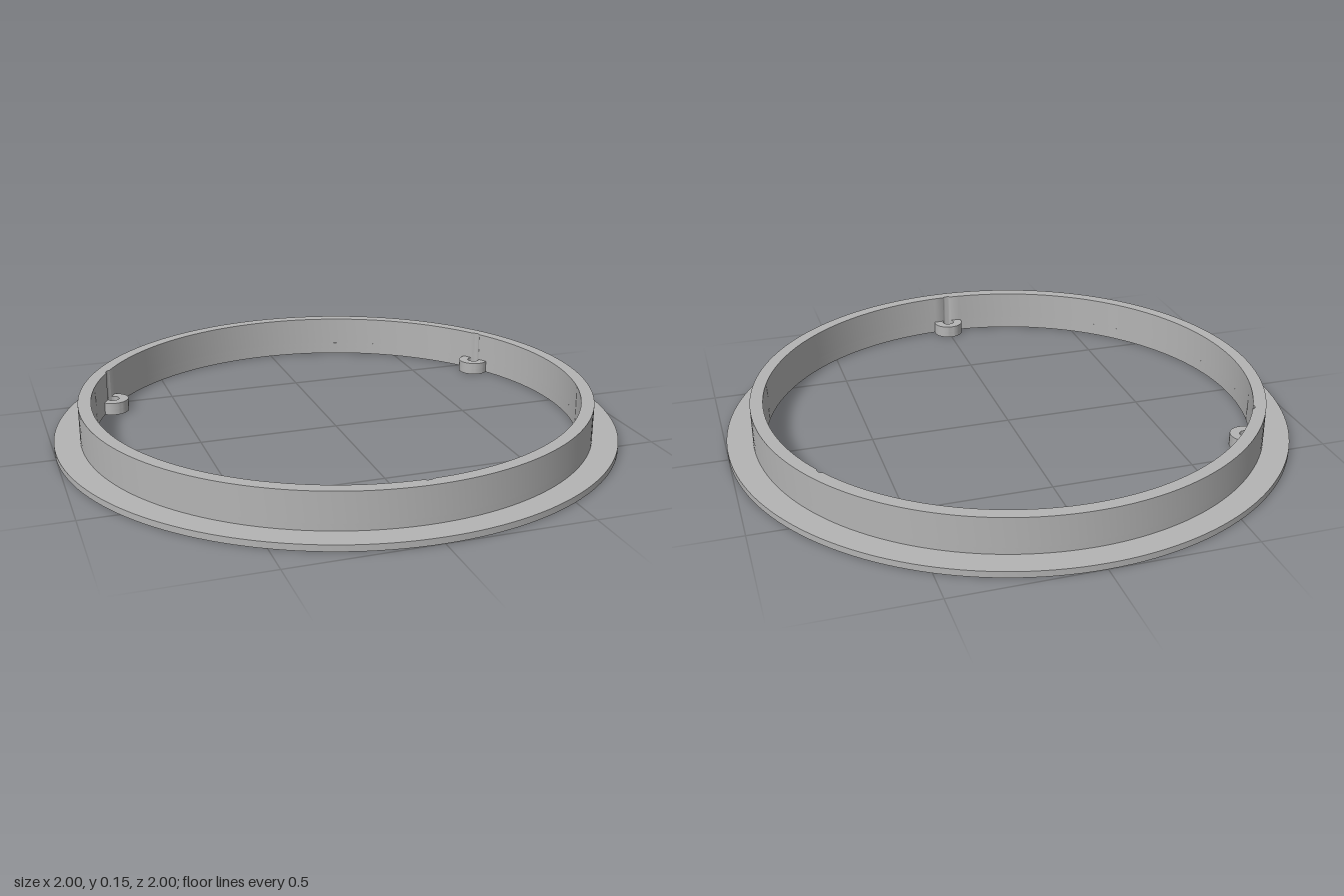
import * as THREE from 'three';
import { toCreasedNormals } from 'three/addons/utils/BufferGeometryUtils.js';

const OUTER = 1, WALL = 0.91, INNER = 0.865;      // ring radii
const FLANGE_TOP = 0.022, LUG_TOP = 0.045, TOP = 0.15;
const LUG_AT = 0.85, LUG_R = 0.056, HOLE_R = 0.022;
const lugAngles = [30, 150, 270].map(THREE.MathUtils.degToRad);

function circle(radius, cx = 0, cy = 0, n = 160) {
  return Array.from({ length: n }, (_, i) => {
    const t = (i / n) * Math.PI * 2;
    return new THREE.Vector2(cx + radius * Math.cos(t), cy + radius * Math.sin(t));
  });
}

// Inner outline, broken at each lug by an arc of radius r that bulges inward (lug) or outward (screw groove)
function innerOutline(r, inward) {
  const a = Math.acos((LUG_AT ** 2 + INNER ** 2 - r * r) / (2 * LUG_AT * INNER));
  const p = Math.atan2(INNER * Math.sin(a), INNER * Math.cos(a) - LUG_AT);
  const sweep = inward ? -(Math.PI * 2 - 2 * p) : 2 * p;
  const points = [];
  for (const angle of lugAngles) {
    for (let i = 0; i <= 24; i++) {
      const t = -p + (sweep * i) / 24;
      points.push(new THREE.Vector2(LUG_AT + r * Math.cos(t), r * Math.sin(t))
        .rotateAround(new THREE.Vector2(), angle));
    }
    const span = Math.PI * 2 / 3 - 2 * a;
    for (let i = 1; i < 52; i++) {
      const t = angle + a + (span * i) / 52;
      points.push(new THREE.Vector2(INNER * Math.cos(t), INNER * Math.sin(t)));
    }
  }
  return points;
}

// Flat ring layer between two heights
function layer(name, radius, holes, bottom, top, material) {
  const shape = new THREE.Shape(circle(radius));
  shape.holes = holes.map((points) => new THREE.Path(points));
  const geometry = new THREE.ExtrudeGeometry(shape, { depth: top - bottom, bevelEnabled: false });
  geometry.rotateX(-Math.PI / 2).translate(0, bottom, 0);
  const mesh = new THREE.Mesh(toCreasedNormals(geometry, 0.6), material);
  mesh.name = name;
  return mesh;
}

export function createModel() {
  const group = new THREE.Group();
  group.name = 'mountingRing';
  const grey = new THREE.MeshStandardMaterial({ color: 0xb4b4b4 });
  grey.name = 'grey';

  const screwHoles = lugAngles.map((t) =>
    circle(HOLE_R, LUG_AT * Math.cos(t), LUG_AT * Math.sin(t), 32));
  const lugHoles = [innerOutline(LUG_R, true), ...screwHoles];

  // Flange and lower wall carry the lugs; the upper wall keeps only the screw grooves
  group.add(
    layer('flange', OUTER, lugHoles, 0, FLANGE_TOP, grey),
    layer('lowerWallWithLugs', WALL, lugHoles, FLANGE_TOP, LUG_TOP, grey),
    layer('upperWall', WALL, [innerOutline(HOLE_R, false)], LUG_TOP, TOP, grey),
  );
  return group;
}
